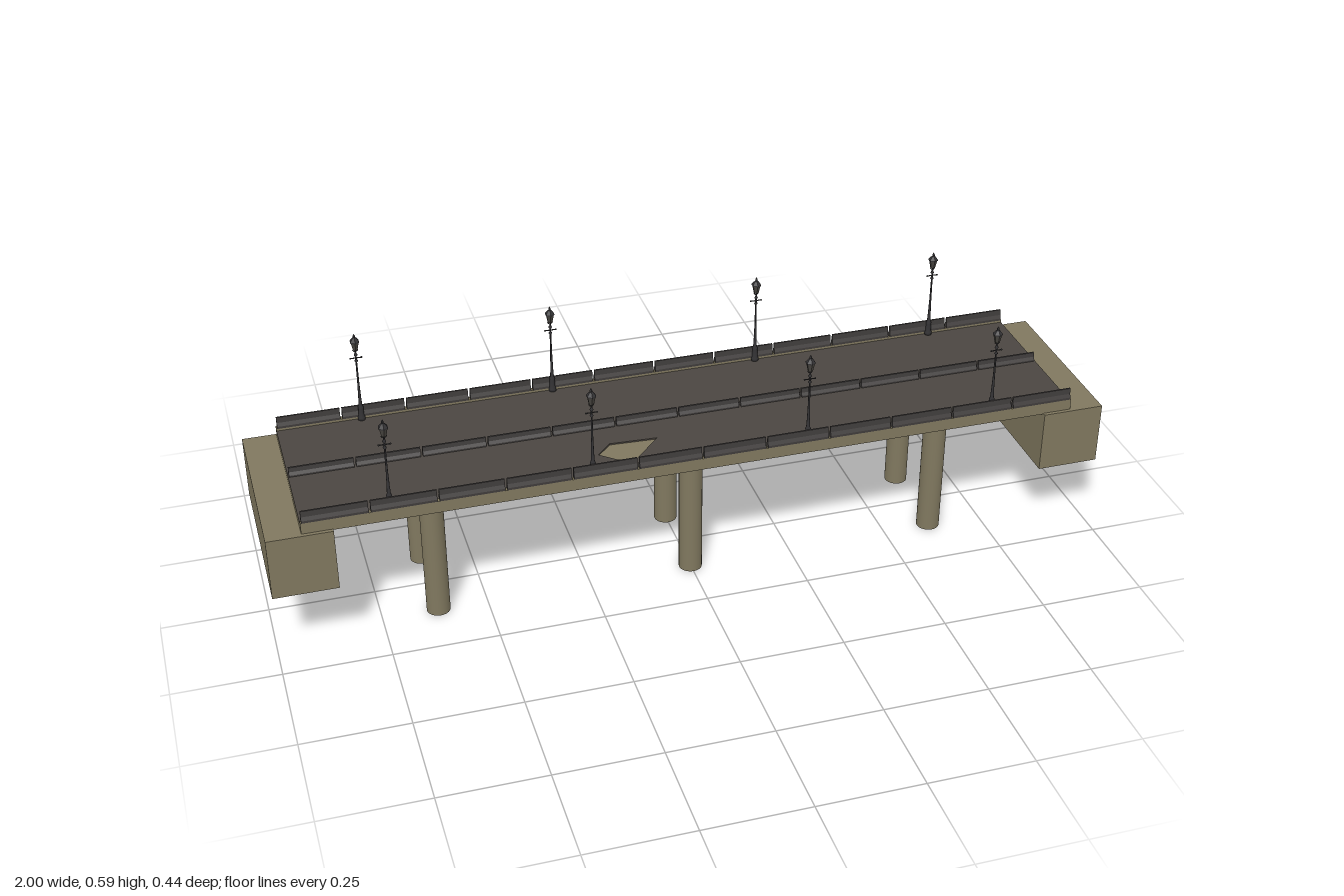
import * as THREE from 'three';

const mat = (name, color, side = THREE.FrontSide) => {
  const m = new THREE.MeshStandardMaterial({ color, side });
  m.name = name;
  return m;
};

export function createModel() {
  const root = new THREE.Group();
  root.name = 'bridge';
  const concrete = mat('concrete', 0x80785f);
  const asphalt = mat('asphalt', 0x4b4641);
  const barrierStone = mat('barrierStone', 0x3f3c3b);
  const iron = mat('castIron', 0x333234);
  const steel = mat('girderSteel', 0x6f7383);
  const glass = mat('lanternGlass', 0x47443f);

  const add = (parent, name, geo, material, x = 0, y = 0, z = 0) => {
    const m = new THREE.Mesh(geo, material);
    m.name = name;
    m.position.set(x, y, z);
    parent.add(m);
    return m;
  };
  // Box given by its lower and upper limits in y
  const box = (parent, name, material, w, y0, y1, d, x = 0, z = 0) =>
    add(parent, name, new THREE.BoxGeometry(w, y1 - y0, d), material, x, (y0 + y1) / 2, z);

  // Abutments at both ends
  for (const s of [-1, 1]) box(root, 'abutment', concrete, 0.15, 0.188, 0.341, 0.438, s * 0.925);

  // Deck slab and raised edge curbs
  box(root, 'deckSlab', concrete, 1.84, 0.339, 0.358, 0.42);
  for (const s of [-1, 1]) box(root, 'curb', concrete, 1.84, 0.358, 0.368, 0.012, 0, s * 0.204);

  // Road surface with a broken patch that bares the slab
  const road = new THREE.Shape([[-0.92, -0.198], [0.92, -0.198], [0.92, 0.198], [-0.92, 0.198]]
    .map(([x, y]) => new THREE.Vector2(x, y)));
  road.holes.push(new THREE.Path([[-0.187, -0.077], [-0.075, -0.083], [-0.15, -0.163], [-0.187, -0.147], [-0.224, -0.115]]
    .map(([x, y]) => new THREE.Vector2(x, y))));
  const roadGeo = new THREE.ExtrudeGeometry(road, { depth: 0.004, bevelEnabled: false });
  roadGeo.rotateX(-Math.PI / 2);
  add(root, 'roadSurface', roadGeo, asphalt, 0, 0.3575, 0);

  // Barrier blocks with a flared foot, extruded along x
  const COUNT = 12, PITCH = 1.84 / COUNT;
  const barrierGeo = (halfWidth, height) => {
    const pts = [[-1, 0], [1, 0], [1, 0.2], [0.45, 0.5], [0.28, 1], [-0.28, 1], [-0.45, 0.5], [-1, 0.2]];
    const shape = new THREE.Shape(pts.map(([u, v]) => new THREE.Vector2(u * halfWidth, v * height)));
    const len = PITCH - 0.005;
    const g = new THREE.ExtrudeGeometry(shape, { depth: len, bevelEnabled: false });
    return g.translate(0, 0, -len / 2).rotateY(Math.PI / 2);
  };
  const sideGeo = barrierGeo(0.007, 0.028), midGeo = barrierGeo(0.008, 0.022);
  for (let i = 0; i < COUNT; i++) {
    const x = -0.92 + PITCH * (i + 0.5);
    for (const s of [-1, 1]) add(root, 'sideBarrier', sideGeo, barrierStone, x, 0.368, s * 0.203);
    add(root, 'medianBarrier', midGeo, barrierStone, x, 0.361, 0);
  }

  // Steel I-girders and cross braces under the slab
  for (let i = -2; i <= 2; i++) {
    const z = i * 0.09;
    box(root, 'girderWeb', steel, 1.7, 0.327, 0.339, 0.004, 0, z);
    box(root, 'girderFlange', steel, 1.7, 0.325, 0.328, 0.014, 0, z);
  }
  for (let i = -4; i <= 4; i++) box(root, 'crossBrace', steel, 0.006, 0.329, 0.337, 0.36, i * 0.2);

  // Piers: cap beam on two round columns
  const columnGeo = new THREE.CylinderGeometry(0.028, 0.028, 0.3, 24);
  for (const x of [-0.617, 0, 0.617]) {
    const pier = new THREE.Group();
    pier.name = 'pier';
    pier.position.x = x;
    root.add(pier);
    box(pier, 'capBeam', concrete, 0.038, 0.299, 0.319, 0.3);
    for (let i = -1; i <= 1; i++) box(pier, 'bearing', concrete, 0.02, 0.319, 0.325, 0.014, 0, i * 0.09);
    for (const s of [-1, 1]) add(pier, 'column', columnGeo, concrete, 0, 0.15, s * 0.108);
  }

  // Street lamps
  const lathe = (pts, n) => new THREE.LatheGeometry(pts.map(([r, y]) => new THREE.Vector2(r, y)), n);
  const postGeo = lathe([[0, 0], [0.009, 0], [0.009, 0.008], [0.007, 0.012], [0.006, 0.032], [0.007, 0.035],
    [0.0045, 0.041], [0.0035, 0.06], [0.0025, 0.1], [0.002, 0.157], [0.0045, 0.16], [0.002, 0.164],
    [0.002, 0.172], [0.0045, 0.176], [0.002, 0.181], [0.002, 0.186], [0, 0.186]], 10);
  const flat = (g) => { const f = g.toNonIndexed(); f.computeVertexNormals(); return f; };
  const glassGeo = flat(lathe([[0, 0.19], [0.006, 0.19], [0.0105, 0.211], [0, 0.211]], 6));
  const roofGeo = flat(lathe([[0, 0.21], [0.0115, 0.21], [0.0115, 0.213], [0.006, 0.22], [0.003, 0.222],
    [0.003, 0.226], [0, 0.232]], 6));
  const cradle = new THREE.TorusGeometry(0.006, 0.001, 5, 10, Math.PI).rotateZ(Math.PI);
  const barGeo = new THREE.CylinderGeometry(0.0013, 0.0013, 0.026, 6).rotateZ(Math.PI / 2);
  const knobGeo = new THREE.SphereGeometry(0.0022, 8, 6);
  for (const s of [-1, 1]) for (const x of [-0.72, -0.257, 0.257, 0.718]) {
    const lamp = new THREE.Group();
    lamp.name = 'streetLamp';
    lamp.position.set(x, 0.36, s * 0.195);
    root.add(lamp);
    add(lamp, 'post', postGeo, iron);
    add(lamp, 'ladderBar', barGeo, iron, 0, 0.168, 0);
    for (const e of [-1, 1]) add(lamp, 'barKnob', knobGeo, iron, e * 0.013, 0.168, 0);
    for (const a of [0, Math.PI / 2]) add(lamp, 'lanternCradle', cradle, iron, 0, 0.191, 0).rotation.y = a;
    add(lamp, 'lanternBody', glassGeo, glass);
    add(lamp, 'lanternRoof', roofGeo, iron);
  }
  return root;
}
